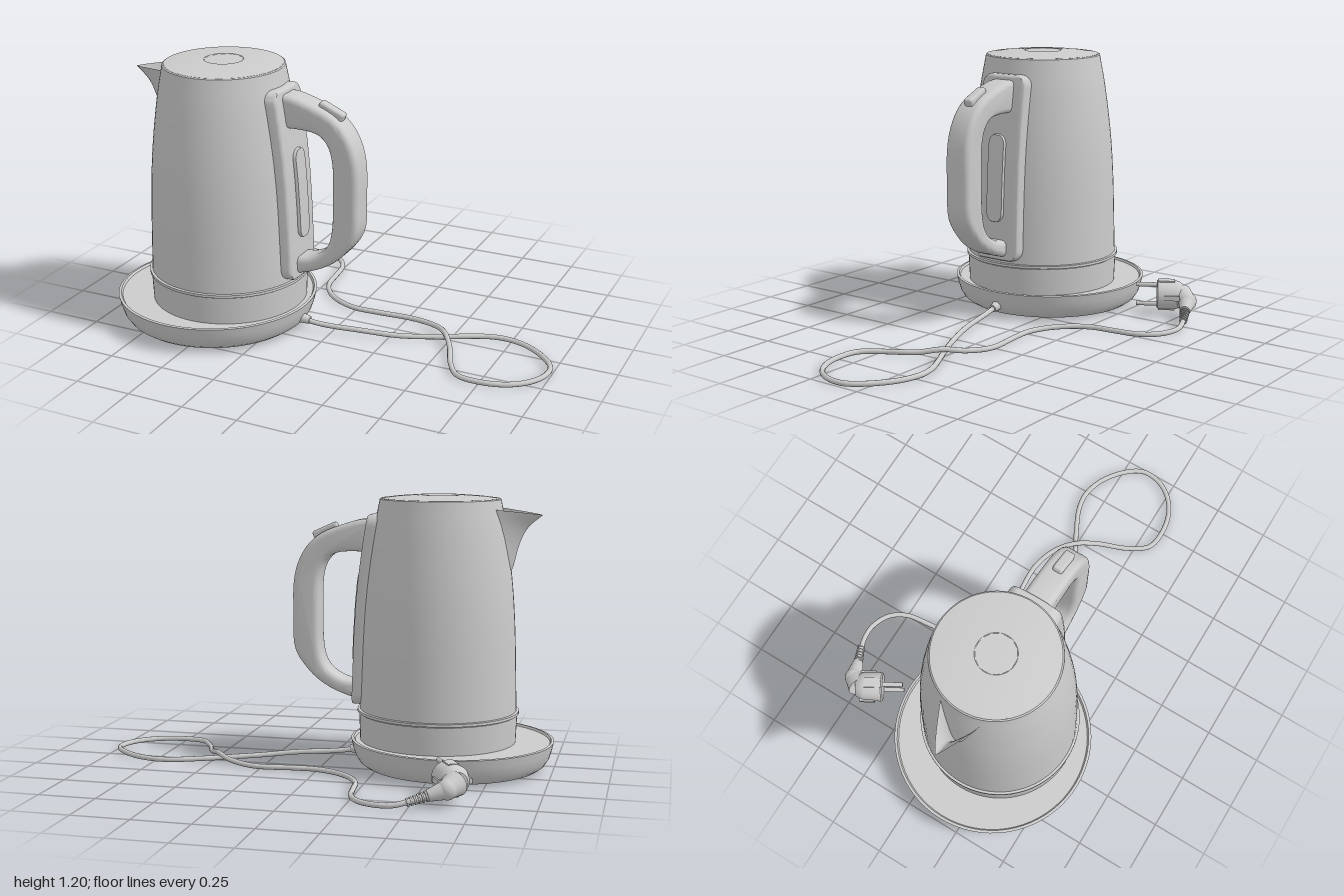
import * as THREE from 'three';
import { toCreasedNormals } from 'three/addons/utils/BufferGeometryUtils.js';
import { RoundedBoxGeometry } from 'three/addons/geometries/RoundedBoxGeometry.js';

const AXIS_X = -0.49, AXIS_Z = 0.172; // vertical axis of the jug
const grey = new THREE.MeshStandardMaterial({ color: 0xcccccc });
const greyThin = new THREE.MeshStandardMaterial({ color: 0xcccccc, side: THREE.DoubleSide });
const V3 = (p) => new THREE.Vector3(...p);
const V2 = (p) => new THREE.Vector2(...p);

function add(parent, name, geometry, material = grey) {
  const mesh = new THREE.Mesh(geometry, material);
  mesh.name = name;
  parent.add(mesh);
  return mesh;
}

const lathe = (points, segments = 72) =>
  toCreasedNormals(new THREE.LatheGeometry(points.map(V2), segments), 0.55);

// Jug wall as [radius, height]
const WALL = [[0.344, 0.262], [0.34, 0.4], [0.334, 0.58], [0.326, 0.72], [0.315, 0.84],
  [0.3, 0.96], [0.285, 1.06], [0.27, 1.14], [0.263, 1.178]];

function wallRadius(y) {
  for (let i = 1; i < WALL.length; i++) {
    const [r0, y0] = WALL[i - 1], [r1, y1] = WALL[i];
    if (y <= y1) return r0 + (r1 - r0) * (y - y0) / (y1 - y0);
  }
  return 0.263;
}

// Rounded pad that follows the wall on the +x side
function padGeometry(y0, y1, halfWidth, corner, inner, outer) {
  const nu = 24, nv = 48;
  const g = new THREE.PlaneGeometry(2, 2, nu, nv), pos = g.attributes.position;
  for (let k = 0; k < pos.count; k++) {
    const i = k % (nu + 1), j = Math.floor(k / (nu + 1));
    const s = Math.sin(pos.getX(k) * Math.PI / 2), t = Math.sin(pos.getY(k) * Math.PI / 2);
    const y = (y0 + y1) / 2 + t * (y1 - y0) / 2;
    const e = Math.max(0, corner - Math.min(y - y0, y1 - y));
    const w = halfWidth - corner + Math.sqrt(Math.max(0, corner * corner - e * e));
    const ring = Math.min(i, nu - i, j, nv - j);
    const depth = ring === 0 ? inner : ring === 1 ? outer - 0.012 : ring === 2 ? outer - 0.004 : outer;
    pos.setXYZ(k, AXIS_X + wallRadius(y) + depth - 0.5 * (s * w) ** 2, y, AXIS_Z - s * w);
  }
  return toCreasedNormals(g, 0.7);
}

// Tapered round bar between two points
function rod(parent, name, a, b, ra, rb, segments = 20) {
  const from = V3(a), dir = V3(b).sub(from);
  const mesh = add(parent, name, new THREE.CylinderGeometry(rb, ra, dir.length(), segments));
  mesh.position.copy(from).addScaledVector(dir, 0.5);
  mesh.quaternion.setFromUnitVectors(new THREE.Vector3(0, 1, 0), dir.normalize());
  return mesh;
}

function spoutGeometry() {
  const ridge = new THREE.CatmullRomCurve3([[-0.795, 0.85, 0], [-0.812, 0.9, 0], [-0.835, 0.99, 0],
    [-0.87, 1.06, 0], [-0.932, 1.115, 0]].map(V3));
  const nu = 20, nv = 16;
  const g = new THREE.PlaneGeometry(2, 1, nu, nv), pos = g.attributes.position;
  for (let k = 0; k < pos.count; k++) {
    const u = pos.getX(k), v = pos.getY(k) + 0.5, a = Math.abs(u);
    const p = ridge.getPoint(v), w = 0.1 * Math.pow(v, 0.8);
    const y = p.y + 0.025 * a * v;
    const r = wallRadius(y) - 0.008;
    const edge = AXIS_X - Math.sqrt(r * r - w * w);
    pos.setXYZ(k, edge + (p.x - edge) * (1 - Math.pow(a, 1.15)), y, AXIS_Z + u * w);
  }
  g.computeVertexNormals();
  return g;
}

function handleGeometry() {
  const outer = [[-0.2, 1.09], [-0.14, 1.085], [-0.06, 1.062], [0.03, 1.025], [0.095, 0.97], [0.14, 0.89],
    [0.16, 0.79], [0.16, 0.65], [0.154, 0.51], [0.09, 0.41], [0.01, 0.345], [-0.08, 0.305], [-0.16, 0.285]];
  const inner = [[-0.16, 0.37], [-0.07, 0.378], [0.008, 0.43], [0.038, 0.52], [0.042, 0.68], [0.04, 0.82],
    [0.01, 0.905], [-0.055, 0.942], [-0.2, 0.945]];
  const smooth = (pts, n) => new THREE.SplineCurve(pts.map(V2)).getPoints(n);
  const shape = new THREE.Shape([...smooth(outer, 40), ...smooth(inner, 32)]);
  const g = new THREE.ExtrudeGeometry(shape, { depth: 0.075, bevelThickness: 0.025, bevelSize: 0.025,
    bevelOffset: -0.025, bevelSegments: 4 });
  g.translate(0, 0, AXIS_Z - 0.0375);
  return toCreasedNormals(g, 0.6);
}

function createPlug() {
  const plug = new THREE.Group();
  plug.name = 'plug';
  // Head with its face, pins and earth clips; local +z is the pin direction
  const head = new THREE.Group();
  head.name = 'plugHead';
  head.position.set(-0.62, 0.092, -0.385);
  head.rotation.y = 0.52;
  plug.add(head);
  add(head, 'plugShell', lathe([[0, -0.125], [0.045, -0.125], [0.06, -0.105], [0.067, -0.085],
    [0.067, -0.006], [0.061, 0], [0, 0]], 32).rotateX(Math.PI / 2));
  for (const side of [-1, 1]) {
    rod(head, 'pin', [0, side * 0.045, -0.01], [0, side * 0.045, 0.094], 0.011, 0.01, 14);
    add(head, 'earthClip', new THREE.BoxGeometry(0.045, 0.012, 0.075)).position.set(0, side * 0.063, -0.045);
    add(head, 'sideGrip', new THREE.BoxGeometry(0.014, 0.022, 0.07)).position.set(side * 0.066, 0, -0.07);
  }
  // Angled neck towards the cord
  rod(plug, 'plugNeck', [-0.672, 0.09, -0.48], [-0.648, 0.075, -0.53], 0.056, 0.042);
  add(plug, 'plugElbow', new THREE.SphereGeometry(0.043, 20, 14)).position.set(-0.648, 0.075, -0.53);
  rod(plug, 'plugNeck', [-0.648, 0.075, -0.53], [-0.575, 0.052, -0.56], 0.041, 0.024);
  // Ribbed strain relief
  const a = V3([-0.578, 0.053, -0.558]), b = V3([-0.495, 0.028, -0.597]);
  rod(plug, 'strainRelief', a.toArray(), b.toArray(), 0.016, 0.013, 14);
  for (let i = 0; i < 6; i++) {
    const p = a.clone().lerp(b, i / 6 + 0.06), q = a.clone().lerp(b, i / 6 + 0.14);
    rod(plug, 'strainReliefRib', p.toArray(), q.toArray(), 0.023 - i * 0.001, 0.022 - i * 0.001, 14);
  }
  return plug;
}

export function createModel() {
  const model = new THREE.Group();
  model.name = 'kettle';

  // Power base with a shallow rim
  add(model, 'powerBase', lathe([[0, 0.006], [0.36, 0.006], [0.388, 0.012], [0.41, 0.028], [0.427, 0.055],
    [0.438, 0.09], [0.446, 0.126], [0.434, 0.128], [0.428, 0.118], [0, 0.118]])).position.set(-0.555, 0, AXIS_Z);

  // Jug: foot, trim ring, wall and lid
  const jug = new THREE.Group();
  jug.name = 'jug';
  jug.position.set(AXIS_X, 0, AXIS_Z);
  model.add(jug);
  add(jug, 'foot', lathe([[0, 0.115], [0.343, 0.115], [0.348, 0.24], [0, 0.24]]));
  add(jug, 'trimRing', lathe([[0.33, 0.244], [0.355, 0.244], [0.355, 0.256], [0.33, 0.26]]));
  add(jug, 'wall', lathe([[0.33, 0.24], [0.344, 0.25],
    ...new THREE.SplineCurve(WALL.map(V2)).getPoints(32).map((p) => [p.x, p.y]),
    [0.257, 1.182], [0.25, 1.181]]));
  add(jug, 'lid', lathe([[0.252, 1.17], [0.254, 1.182], [0.2, 1.189], [0.11, 1.196], [0.085, 1.197],
    [0.082, 1.195], [0, 1.195]]));

  add(model, 'spout', spoutGeometry(), greyThin);

  // Handle, its mounting plate, level window and lid button
  add(model, 'handlePlate', padGeometry(0.272, 1.112, 0.12, 0.05, -0.03, 0.03));
  add(model, 'levelWindow', padGeometry(0.45, 0.85, 0.045, 0.044, 0.01, 0.043));
  add(model, 'handle', handleGeometry());
  const button = add(model, 'lidButton', new RoundedBoxGeometry(0.12, 0.04, 0.046, 3, 0.012));
  button.position.set(0.02, 1.032, AXIS_Z);
  button.rotation.z = -0.42;

  // Cord lying on the floor, with a loop that crosses itself
  rod(model, 'cordOutlet', [-0.15, 0.06, 0.172], [-0.095, 0.05, 0.168], 0.026, 0.017);
  const path = [[-0.15, 0.06, 0.172], [-0.06, 0.042, 0.165], [0.15, 0.03, 0.125], [0.3, 0.018, 0.08],
    [0.45, 0.014, 0.012], [0.56, 0.014, -0.045], [0.65, 0.014, -0.084], [0.73, 0.014, -0.095],
    [0.83, 0.014, -0.068], [0.93, 0.014, 0.005], [0.982, 0.014, 0.08], [0.982, 0.014, 0.16],
    [0.94, 0.014, 0.24], [0.86, 0.014, 0.3], [0.75, 0.014, 0.324], [0.655, 0.014, 0.308],
    [0.59, 0.015, 0.22], [0.535, 0.022, 0.09], [0.475, 0.037, 0], [0.4, 0.025, -0.068],
    [0.28, 0.014, -0.11], [0.1, 0.014, -0.102], [0, 0.014, -0.102], [-0.1, 0.014, -0.14],
    [-0.18, 0.014, -0.21], [-0.222, 0.014, -0.29], [-0.235, 0.014, -0.39], [-0.252, 0.014, -0.5],
    [-0.3, 0.014, -0.572], [-0.38, 0.015, -0.61], [-0.445, 0.018, -0.61], [-0.51, 0.033, -0.59],
    [-0.57, 0.05, -0.562]];
  const curve = new THREE.CatmullRomCurve3(path.map(V3));
  add(model, 'cord', new THREE.TubeGeometry(curve, 260, 0.0115, 10));

  model.add(createPlug());
  return model;
}
